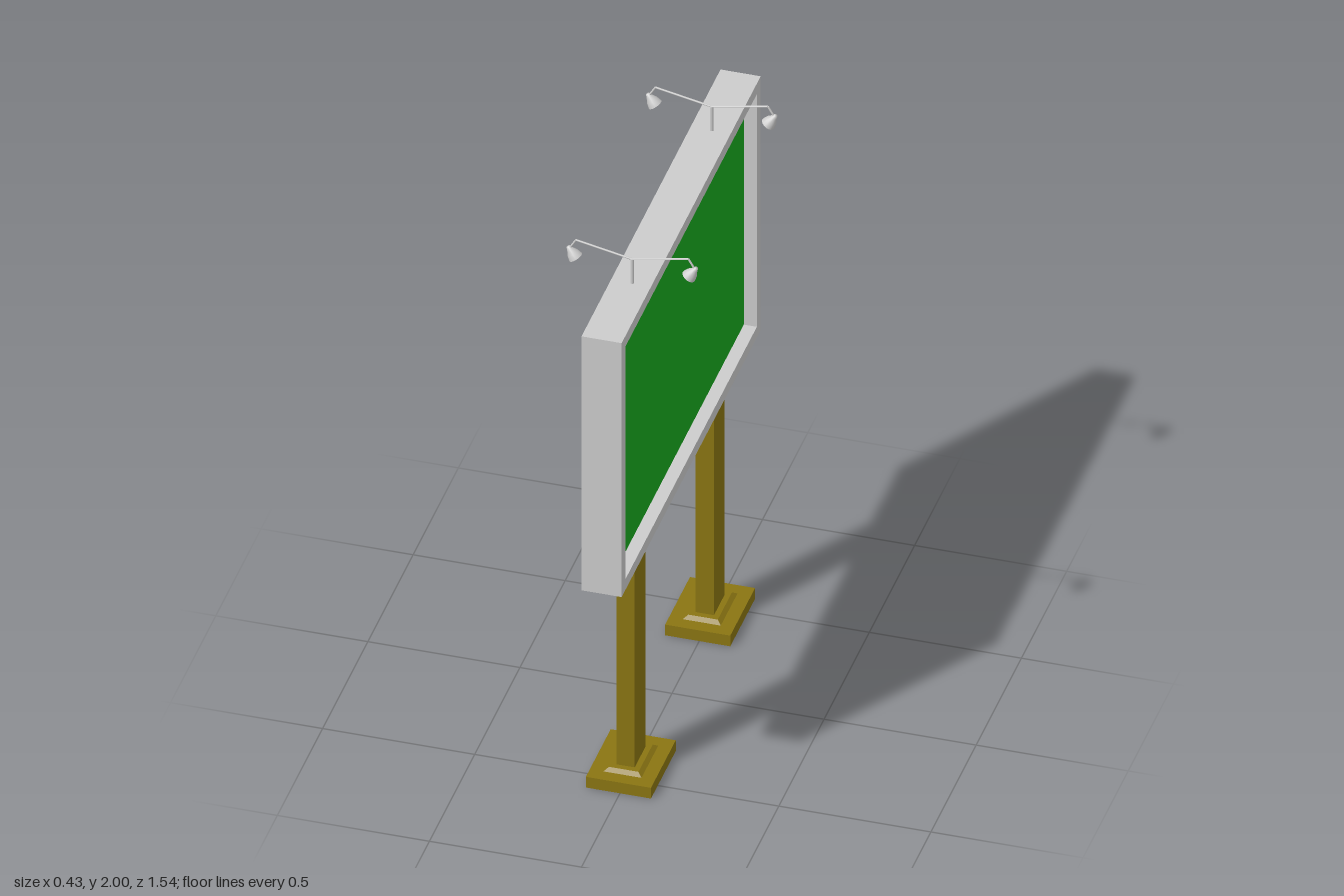
import * as THREE from 'three';

const grey = new THREE.MeshStandardMaterial({ color: 0xcccccc });
const greyOpen = new THREE.MeshStandardMaterial({ color: 0xcccccc, side: THREE.DoubleSide });
const green = new THREE.MeshStandardMaterial({ color: 0x18a81e });
const brown = new THREE.MeshStandardMaterial({ color: 0x8a7512 });

function add(parent, name, geometry, material, x = 0, y = 0, z = 0) {
  const mesh = new THREE.Mesh(geometry, material);
  mesh.name = name;
  mesh.position.set(x, y, z);
  parent.add(mesh);
  return mesh;
}

// Straight round rod between two points
function rod(parent, name, a, b, radius) {
  const dir = b.clone().sub(a);
  const mesh = add(parent, name, new THREE.CylinderGeometry(radius, radius, dir.length(), 10), grey);
  mesh.position.copy(a).add(b).multiplyScalar(0.5);
  mesh.quaternion.setFromUnitVectors(new THREE.Vector3(0, 1, 0), dir.normalize());
}

// Box whose top face is smaller than its bottom face
function taperedBox(w, h, d, inset) {
  const geo = new THREE.BoxGeometry(w, h, d);
  const p = geo.attributes.position;
  for (let i = 0; i < p.count; i++) {
    if (p.getY(i) > 0) {
      p.setX(i, p.getX(i) - Math.sign(p.getX(i)) * inset);
      p.setZ(i, p.getZ(i) - Math.sign(p.getZ(i)) * inset);
    }
  }
  geo.computeVertexNormals();
  return geo;
}

function rectangle(PathType, w, h) {
  return new PathType([[-w, -h], [w, -h], [w, h], [-w, h]].map(([x, y]) => new THREE.Vector2(x / 2, y / 2)));
}

// Post with foot plate and chamfered collar
function createSupport() {
  const support = new THREE.Group();
  support.name = 'support';
  add(support, 'footPlate', new THREE.BoxGeometry(0.214, 0.041, 0.274), brown, 0, 0.0205);
  add(support, 'collar', taperedBox(0.125, 0.011, 0.185, 0.014), brown, 0, 0.0465);
  add(support, 'post', new THREE.BoxGeometry(0.06, 0.88, 0.117), brown, 0, 0.47);
  return support;
}

// Pole with an arm and a shaded lamp on each side
function createLampPost() {
  const lampPost = new THREE.Group();
  lampPost.name = 'lampPost';
  const top = new THREE.Vector3(0, 1.96, 0);
  rod(lampPost, 'pole', new THREE.Vector3(0, 1.86, 0), top, 0.006);
  const shadeProfile = [[0, 0.045], [0.006, 0.045], [0.01, 0.034], [0.019, 0.018], [0.024, 0]]
    .map(([r, y]) => new THREE.Vector2(r, y)).reverse();
  for (const side of [-1, 1]) {
    const elbow = new THREE.Vector3(side * 0.185, 1.997, 0);
    const tip = new THREE.Vector3(side * 0.206, 1.962, 0);
    rod(lampPost, 'arm', top, elbow, 0.0035);
    rod(lampPost, 'armEnd', elbow, tip, 0.0035);
    const lamp = new THREE.Group();
    lamp.name = 'lamp';
    lamp.position.set(side * 0.186, 1.931, 0);
    lamp.rotation.z = -side * 0.6;
    add(lamp, 'shade', new THREE.LatheGeometry(shadeProfile, 16), greyOpen);
    add(lamp, 'bulb', new THREE.SphereGeometry(0.014, 12, 8), grey, 0, 0.008);
    lampPost.add(lamp);
  }
  return lampPost;
}

export function createModel() {
  const model = new THREE.Group();
  model.name = 'billboard';

  // Deep frame around a panel recessed on both sides
  const outline = rectangle(THREE.Shape, 1.536, 0.975);
  outline.holes.push(rectangle(THREE.Path, 1.452, 0.893));
  const frameGeo = new THREE.ExtrudeGeometry(outline, { depth: 0.132, bevelEnabled: false });
  frameGeo.translate(0, 0, -0.066).rotateY(Math.PI / 2);
  add(model, 'frame', frameGeo, grey, -0.003, 1.382, 0);
  add(model, 'displayPanel', new THREE.BoxGeometry(0.046, 0.897, 1.456), green, -0.003, 1.382, 0);

  for (const side of [-1, 1]) {
    const support = createSupport();
    support.position.set(-0.005, 0, side * 0.438);
    model.add(support);
    const lampPost = createLampPost();
    lampPost.position.z = side * 0.439;
    model.add(lampPost);
  }
  return model;
}
